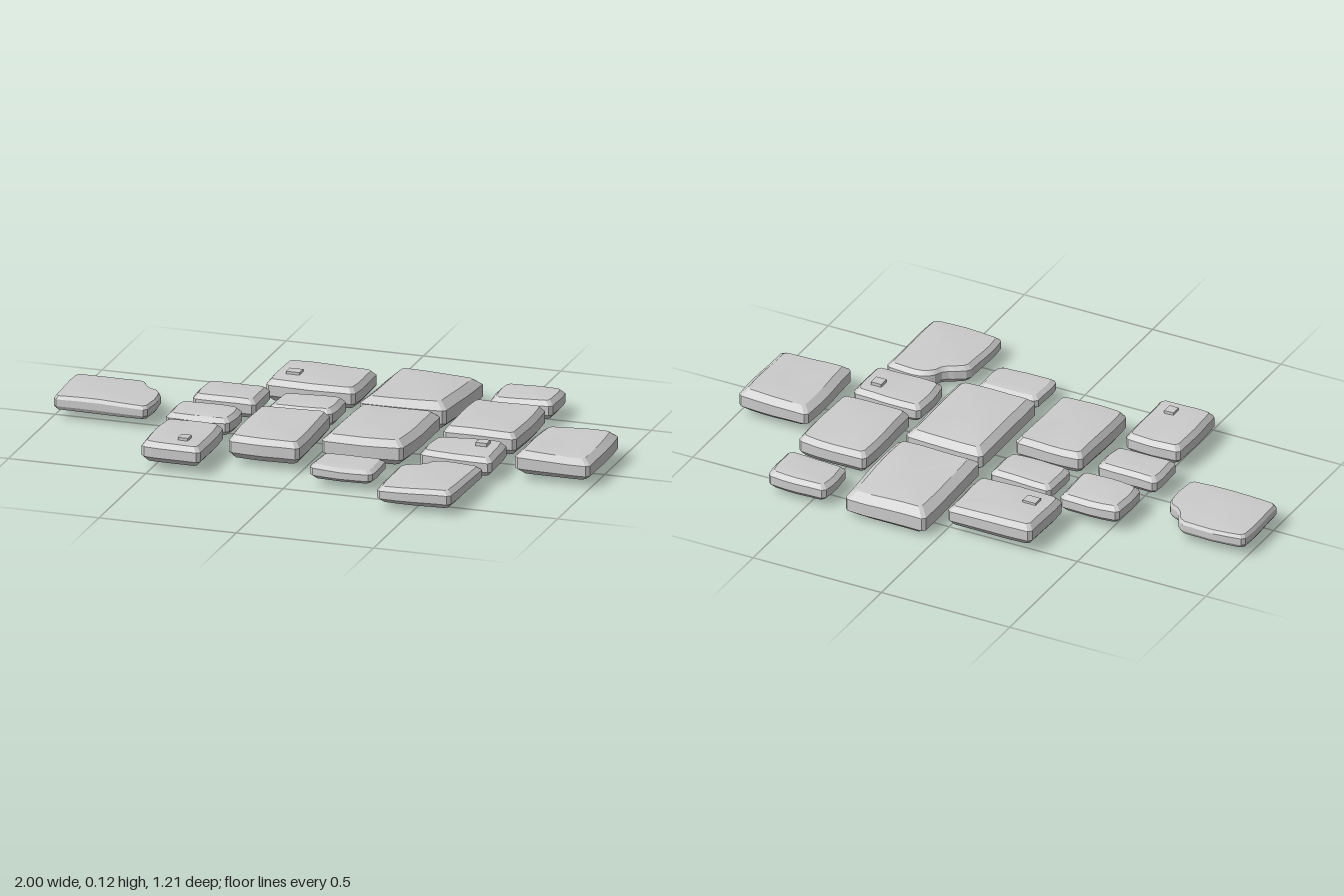
import * as THREE from 'three';
import { toCreasedNormals } from 'three/addons/utils/BufferGeometryUtils.js';

const material = new THREE.MeshStandardMaterial({ color: 0xcccccc });
const STEPS = 4;

// Slightly uneven rectangle; notch breaks off a back corner on one side
function stoneCorners([x0, x1, z0, z1], phase, notch) {
  const corners = [[x0, z0], [x1, z0], [x1, z1], [x0, z1]].map(([x, z], i) => [
    x + Math.sign(x0 + x1 - 2 * x) * 0.004 * (1 + Math.sin(phase + i * 2.3)),
    z + Math.sign(z0 + z1 - 2 * z) * 0.004 * (1 + Math.cos(phase + i * 1.9))
  ]);
  if (notch) {
    const { side, w, d } = notch;
    const edge = side > 0 ? x1 : x0;
    const cut = [[edge - side * w, z0], [edge - side * 0.6 * w, z0 + 0.6 * d], [edge, z0 + d]];
    if (side > 0) corners.splice(1, 1, ...cut);
    else corners.splice(0, 1, ...cut.reverse());
  }
  return corners;
}

// Outline with clipped corners and subdivided, slightly bowed edges
function outline(corners, phase) {
  const pts = [];
  corners.forEach((c, i) => {
    const a = new THREE.Vector2(...c);
    const dir = new THREE.Vector2(...corners[(i + 1) % corners.length]).sub(a);
    const len = dir.length();
    dir.normalize();
    for (let k = 0; k <= STEPS; k++) {
      const t = k / STEPS;
      const bow = 0.006 * Math.sin(Math.PI * t) * (0.6 + 0.5 * Math.sin(phase + i * 2.1 + t * 4));
      const p = a.clone().addScaledVector(dir, 0.012 + (len - 0.024) * t);
      pts.push(new THREE.Vector2(p.x + dir.y * bow, p.y - dir.x * bow));
    }
  });
  return pts;
}

// Bevelled slab lofted through rings from the bottom centre to the top centre
function slabGeometry(pts, low, high, tilt, phase, bevel) {
  const box = new THREE.Box2().setFromPoints(pts);
  const mid = box.getCenter(new THREE.Vector2());
  const half = box.getSize(new THREE.Vector2()).multiplyScalar(0.5);
  const h = high - low;
  // Each ring: inset distance, scale, height, amount of surface wave
  const rings = [
    [0, 0, low, 0], [bevel, 1, low, 0], [0, 1, low + 0.25 * h, 0.3],
    [0, 1, low + 0.72 * h, 0.8], [bevel, 1, high - 0.003, 1],
    [bevel, 0.66, high, 1], [bevel, 0.33, high, 1], [bevel, 0, high, 1]
  ];
  const loops = rings.map(([d, s, y, wave]) => pts.map(p => {
    const x = mid.x + (p.x - mid.x) * s * (1 - d / half.x);
    const z = mid.y + (p.y - mid.y) * s * (1 - d / half.y);
    const ripple = 0.004 * wave * Math.sin(13 * x + phase) * Math.cos(11 * z + phase);
    return [x, y + ripple + tilt * (z - mid.y), z];
  }));
  const pos = [];
  for (let r = 0; r < loops.length - 1; r++) {
    const A = loops[r], B = loops[r + 1];
    for (let i = 0; i < pts.length; i++) {
      const j = (i + 1) % pts.length;
      if (rings[r + 1][1] > 0) pos.push(...A[i], ...B[i], ...B[j]);
      if (rings[r][1] > 0) pos.push(...A[i], ...B[j], ...A[j]);
    }
  }
  const g = new THREE.BufferGeometry();
  g.setAttribute('position', new THREE.Float32BufferAttribute(pos, 3));
  return toCreasedNormals(g, 0.35);
}

// Plan bounds are left x, right x, back z, front z
const stones = [
  { name: 'brokenLeftStone', plan: [-1, -0.65, -0.218, 0.053], thick: 0.053, bevel: 0.008,
    notch: { side: 1, w: 0.1, d: 0.105 } },
  { name: 'backLeftStone', plan: [-0.342, -0.007, -0.535, -0.287] },
  { name: 'largeBackStone', plan: [0.037, 0.358, -0.607, -0.2], thick: 0.1, drop: 0.0165, tilt: 0.05, bevel: 0.03 },
  { name: 'smallBackRightStone', plan: [0.435, 0.667, -0.6, -0.422] },
  { name: 'smallLeftBackStone', plan: [-0.54, -0.302, -0.272, -0.082] },
  { name: 'smallInnerStone', plan: [-0.26, -0.018, -0.242, -0.078] },
  { name: 'smallLeftStone', plan: [-0.557, -0.32, -0.033, 0.127] },
  { name: 'frontLeftStone', plan: [-0.535, -0.315, 0.178, 0.468] },
  { name: 'innerLeftStone', plan: [-0.272, -0.004, -0.033, 0.325], tilt: -0.02 },
  { name: 'largeCentreStone', plan: [0.045, 0.35, -0.168, 0.24], tilt: 0.02, bevel: 0.025 },
  { name: 'innerRightStone', plan: [0.403, 0.673, -0.362, 0.02 - 0.04] },
  { name: 'smallRightStone', plan: [0.393, 0.662, 0.022, 0.222] },
  { name: 'smallFrontStone', plan: [0.067, 0.304, 0.283, 0.447], thick: 0.054 },
  { name: 'brokenFrontStone', plan: [0.371, 0.647, 0.25, 0.6], thick: 0.063,
    notch: { side: -1, w: 0.125, d: 0.105 } },
  { name: 'rightStone', plan: [0.722, 1, -0.187, 0.157], bevel: 0.025 }
];

export function createModel() {
  const group = new THREE.Group();
  stones.forEach(({ name, plan, notch, thick, drop = 0, tilt = 0, bevel = 0.016 }, i) => {
    const [x0, x1, z0, z1] = plan;
    const phase = i * 1.7;
    // Larger stones are thicker, and the paving sinks slightly towards +x
    const height = thick ?? 0.055 + 0.3 * (x1 - x0) * (z1 - z0);
    const low = 0.029 - 0.004 * (x0 + x1) - drop;
    const pts = outline(stoneCorners(plan, phase, notch), phase);
    const stone = new THREE.Mesh(slabGeometry(pts, low, low + height, tilt, phase, bevel), material);
    stone.name = name;
    group.add(stone);
  });

  // Small raised chips on three of the stones
  [[-0.258, 0.11, -0.38, 0.05], [-0.396, 0.103, 0.39, 0.036], [0.59, 0.098, 0.096, 0.04]].forEach(([x, y, z, w]) => {
    const chip = new THREE.Mesh(new THREE.BoxGeometry(w, 0.024, 0.04), material);
    chip.name = 'raisedChip';
    chip.position.set(x, y, z);
    group.add(chip);
  });
  return group;
}
